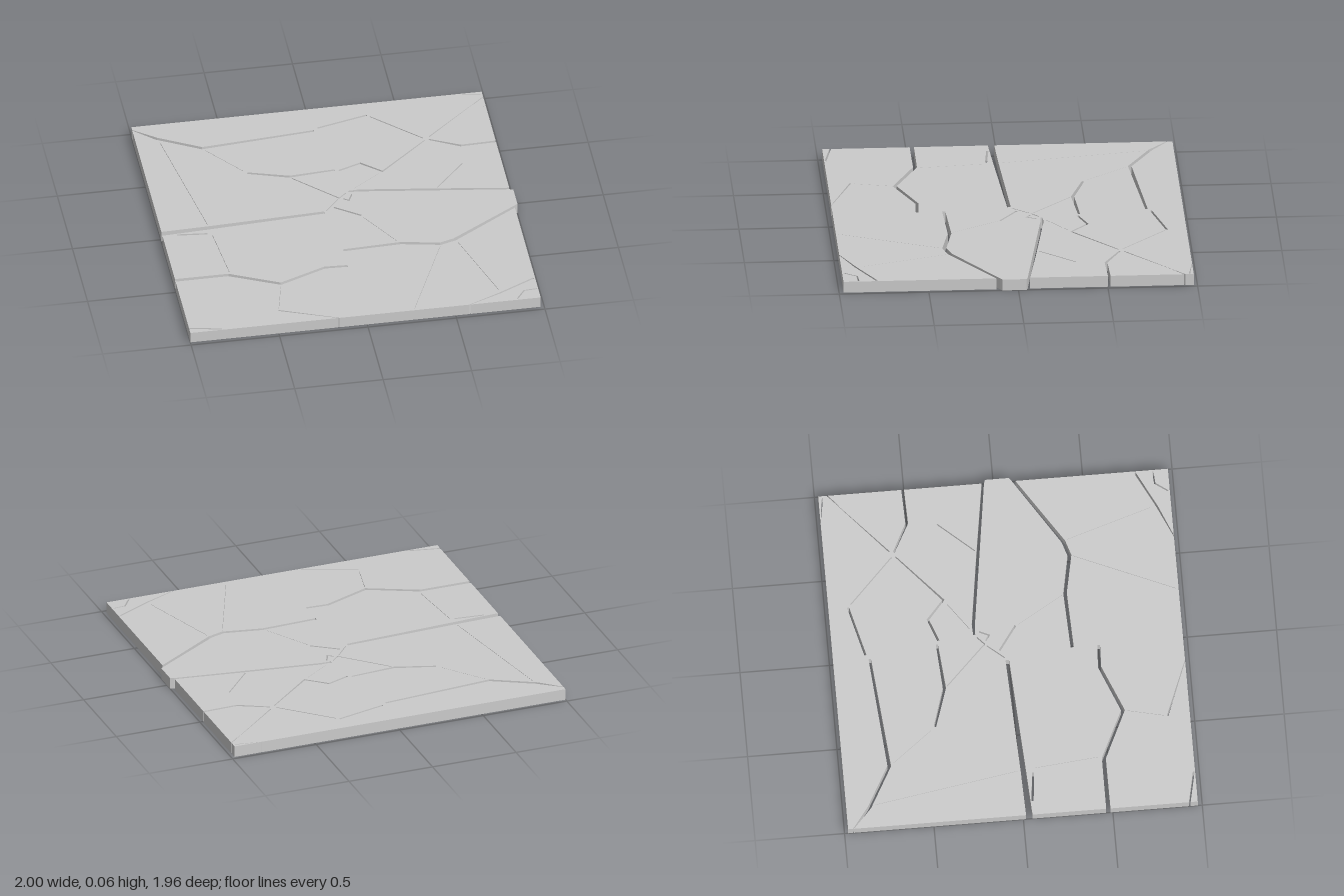
import * as THREE from 'three';

const THICKNESS = 0.065;
const LEFT = -1, RIGHT = 0.98, BACK = -0.98, FRONT = 0.975;

// Outline of a crack from [x, z, width] points: out along one side, back along the other.
function ribbon(points, edge) {
  const near = [], far = [];
  points.forEach(([x, z, w], i) => {
    const a = points[Math.max(i - 1, 0)], b = points[Math.min(i + 1, points.length - 1)];
    const d0 = new THREE.Vector2(x - a[0], z - a[1]).normalize();
    const d1 = new THREE.Vector2(b[0] - x, b[1] - z).normalize();
    const d = d0.clone().add(d1).normalize();
    const ref = i ? d0 : d1;
    const mitre = 1 / Math.max(0.5, d.dot(ref));
    let nx = d.y * mitre, nz = -d.x * mitre;
    // The mouth of a crack lies flat along the slab's edge.
    if (i === 0 && edge) [nx, nz] = edge;
    near.push([x + nx * w / 2, z + nz * w / 2]);
    far.unshift([x - nx * w / 2, z - nz * w / 2]);
  });
  return [...near, ...far];
}

const hair = (w, ...pts) => pts.map(([x, z]) => [x, z, w]);

// Cracks open to each edge, in order around the slab
const leftCracks = [
  [[LEFT, -0.95, 0.006], [-0.88, -0.85, 0.02], [-0.645, -0.72, 0.02], [-0.005, -0.775, 0.014]],
  [[LEFT, 0.033, 0.036], [-0.74, 0.022, 0.03], [-0.075, -0.012, 0.02]],
  [[LEFT, 0.475, 0.024], [-0.7, 0.475, 0.022], [-0.425, 0.605, 0.02], [-0.16, 0.497, 0.018], [-0.03, 0.503, 0.016]],
  hair(0.01, [LEFT, 0.93], [-0.82, 0.968]),
];
const frontCracks = [
  hair(0.009, [-0.16, FRONT], [-0.48, 0.85]),
  hair(0.01, [0.58, FRONT], [0.765, 0.895], [0.97, 0.79]),
];
const rightCracks = [
  [[RIGHT, 0.112, 0.02], [0.6, 0.358, 0.022], [0.515, 0.385, 0.022], [0.295, 0.342, 0.02], [-0.03, 0.355, 0.018]],
  [[RIGHT, -0.06, 0.014], [0.58, -0.12, 0.018], [0.15, -0.183, 0.018], [0.09, -0.183, 0.012]],
  [[RIGHT, -0.508, 0.015], [0.78, -0.502, 0.015], [0.615, -0.588, 0.01]],
  hair(0.007, [RIGHT, -0.93], [0.62, -0.613]),
];
const backCracks = [hair(0.007, [0.82, BACK], [0.97, -0.957])];

// Cracks that stay inside the slab
const innerCracks = [
  [[-0.435, -0.447, 0.014], [-0.21, -0.375, 0.018], [0.05, -0.395, 0.012]],
  [[0.072, -0.385, 0.012], [0.2, -0.433, 0.012], [0.31, -0.337, 0.01], [0.588, -0.582, 0.006]],
  hair(0.012, [0.02, -0.797], [0.31, -0.87]),
  hair(0.006, [0.325, -0.855], [0.585, -0.605]),
  hair(0.006, [-0.2, -0.358], [0.03, -0.13], [0.075, -0.172]),
  hair(0.005, [-0.06, -0.025], [0.02, -0.12]),
  hair(0.011, [-0.015, -0.05], [0.125, 0.05]),
  hair(0.008, [0.05, -0.122], [0.08, -0.1], [0.105, -0.155]),
  hair(0.006, [0.585, -0.137], [0.76, -0.335]),
  hair(0.012, [-0.92, 0.058], [-0.75, 0.075]),
  hair(0.009, [0.89, -0.835], [0.935, -0.885], [0.97, -0.84]),
  hair(0.008, [0.85, 0.965], [0.9, 0.895], [0.97, 0.89]),
];

// Faint seams between shards
const seams = [
  [[-0.868, -0.815], [-0.735, -0.005]],
  [[-0.725, 0.09], [-0.69, 0.45]],
  [[-0.63, -0.695], [-0.455, -0.47]],
  [[0.13, 0.065], [0.28, 0.32]],
  [[0.51, 0.405], [0.27, 0.96]],
  [[0.61, 0.38], [0.76, 0.86]],
  [[-0.43, 0.63], [-0.475, 0.83]],
  [[0.125, -0.205], [0.285, -0.32]],
].map((pts) => hair(0.002, ...pts));

// Plan coordinates (x, z) to shape coordinates
const toShape = (pts) => pts.map(([x, z]) => new THREE.Vector2(x, -z));

export function createModel() {
  const group = new THREE.Group();
  group.name = 'crackedFloorSlab';

  const notches = (cracks, edge) => cracks.flatMap((c) => ribbon(c, edge));
  const [lowerRight, ...upperRight] = rightCracks;
  const outline = [
    [LEFT, BACK],
    ...notches(leftCracks, [0, -1]),
    [LEFT, FRONT],
    ...notches(frontCracks, [-1, 0]),
    [RIGHT, FRONT],
    ...ribbon(lowerRight, [0, 1]),
    // shard pushed slightly outwards
    [1, 0.088], [1, -0.046],
    ...notches(upperRight, [0, 1]),
    [RIGHT, BACK],
    ...notches(backCracks, [1, 0]),
  ];

  const shape = new THREE.Shape(toShape(outline));
  for (const crack of [...innerCracks, ...seams]) {
    shape.holes.push(new THREE.Path(toShape(ribbon(crack))));
  }

  const geometry = new THREE.ExtrudeGeometry(shape, { depth: THICKNESS, bevelEnabled: false });
  geometry.rotateX(-Math.PI / 2);
  const slab = new THREE.Mesh(geometry, new THREE.MeshStandardMaterial({ color: 0xcccccc, flatShading: true }));
  slab.name = 'slab';
  group.add(slab);
  return group;
}
